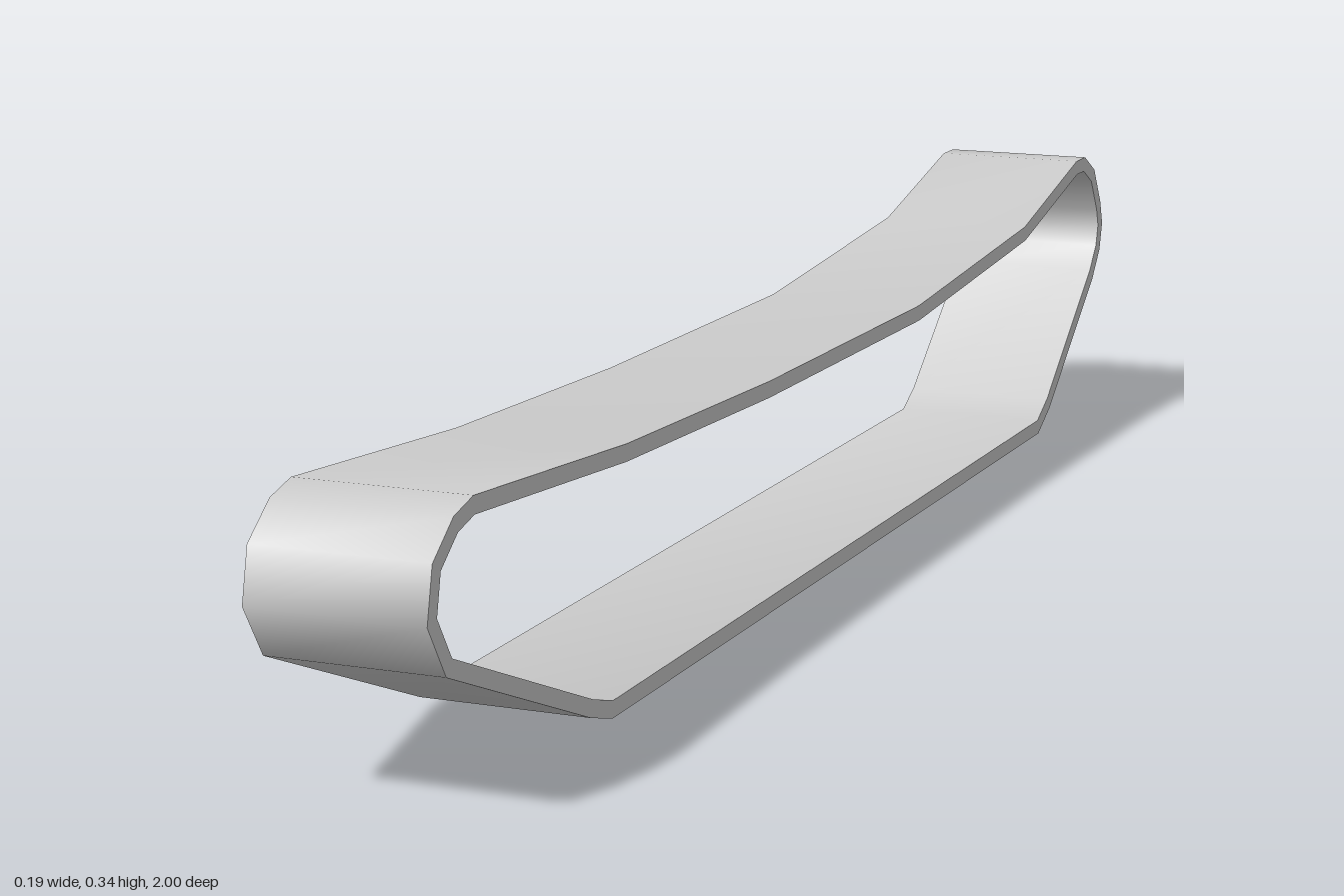
import * as THREE from 'three';
import { toCreasedNormals } from 'three/addons/utils/BufferGeometryUtils.js';

const WIDTH = 0.185;
const THICKNESS = 0.018;

// Outer outline of the belt as (z, y), counter-clockwise from the rear of the ground run
const OUTLINE = [
  [-0.735, 0], [0.61, 0], [0.66, 0.015],                                   // ground run
  [0.965, 0.14], [1, 0.195], [0.988, 0.25], [0.945, 0.283], [0.905, 0.293], // front bend
  [0.57, 0.268], [0.2, 0.256], [-0.27, 0.253], [-0.665, 0.283],            // sagging top run
  [-0.88, 0.336], [-0.917, 0.336], [-0.96, 0.313], [-0.99, 0.265],         // rear bend
  [-1, 0.235], [-0.99, 0.2], [-0.96, 0.165], [-0.78, 0.024],
].map(([z, y]) => new THREE.Vector2(z, y));

// Moves a closed counter-clockwise outline inwards, with mitred corners
function inset(points, distance) {
  const n = points.length;
  const normal = (a, b) => new THREE.Vector2(a.y - b.y, b.x - a.x).normalize();
  return points.map((p, i) => {
    const n1 = normal(points[(i + n - 1) % n], p);
    const n2 = normal(p, points[(i + 1) % n]);
    const miter = n1.clone().add(n2).multiplyScalar(distance / (1 + n1.dot(n2)));
    return miter.add(p);
  });
}

export function createModel() {
  const group = new THREE.Group();
  group.name = 'trackBelt';

  // Closed band: outer outline with the inset outline as a hole
  const shape = new THREE.Shape(OUTLINE);
  shape.holes.push(new THREE.Path(inset(OUTLINE, THICKNESS)));
  const band = new THREE.ExtrudeGeometry(shape, { depth: WIDTH, bevelEnabled: false });
  band.translate(0, 0, -WIDTH / 2).rotateY(-Math.PI / 2);

  // Smooth around the bends, sharp at the side rims
  const mesh = new THREE.Mesh(
    toCreasedNormals(band, 1.05),
    new THREE.MeshStandardMaterial({ color: 0xcccccc }),
  );
  mesh.name = 'belt';
  group.add(mesh);
  return group;
}
